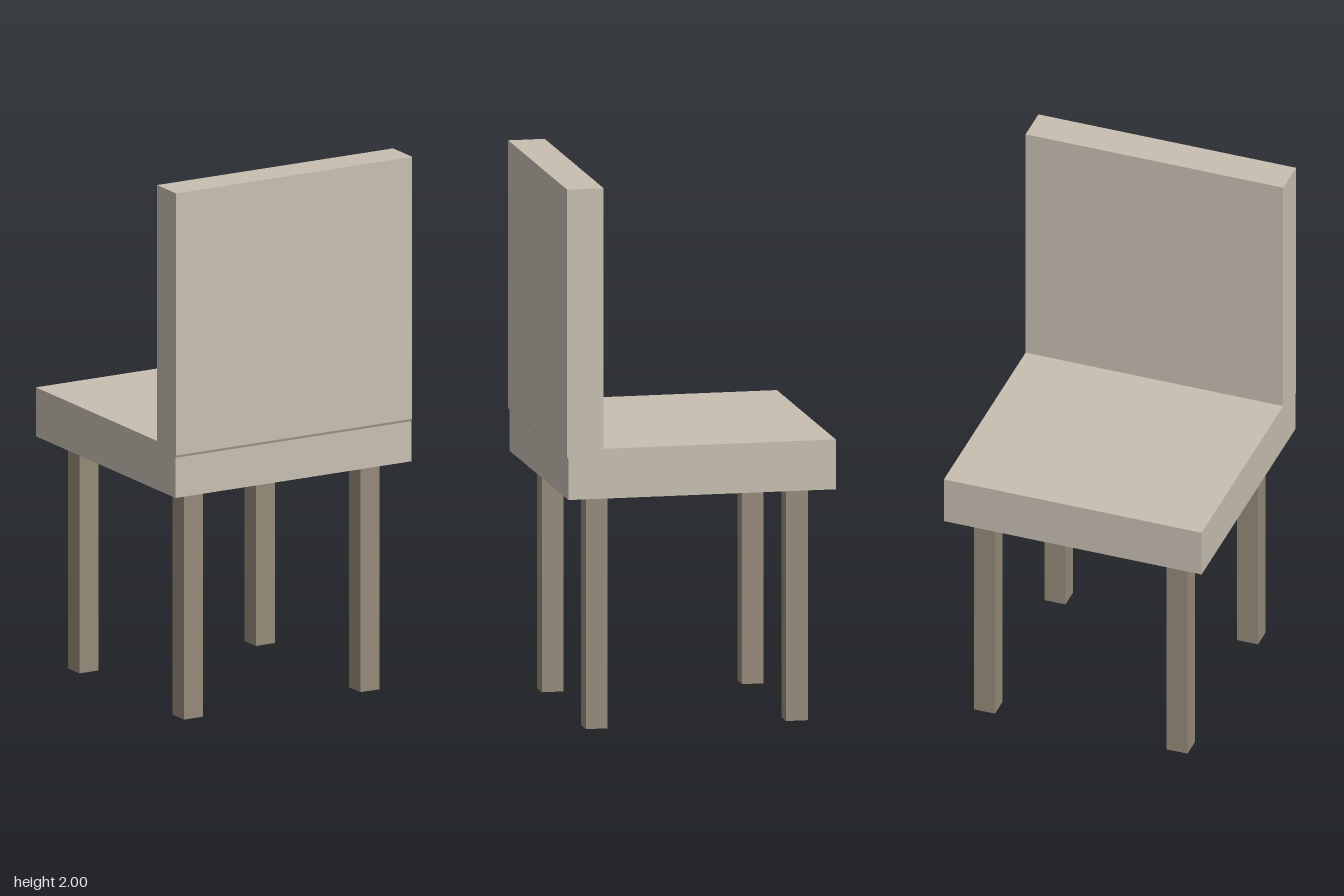
import * as THREE from 'three';

export function createModel() {
  const group = new THREE.Group();
  const upholstery = new THREE.MeshStandardMaterial({ name: 'beige upholstery', color: 0xc8bfb1 });
  const wood = new THREE.MeshStandardMaterial({ name: 'brown wood', color: 0x968a79 });

  // Seat and backrest: one L-shaped side profile (z, y) swept across the width
  const width = 0.99;
  const profile = new THREE.Shape([
    [-0.495, 0.86], [0.493, 0.86], [0.493, 1.01], [0.498, 1.02],
    [0.498, 2], [0.363, 2], [0.363, 1.043], [-0.495, 1.043],
  ].map(([z, y]) => new THREE.Vector2(z, y)));
  const body = new THREE.ExtrudeGeometry(profile, { depth: width, bevelEnabled: false });
  body.rotateY(-Math.PI / 2).translate(width / 2, 0, 0);
  const seat = new THREE.Mesh(body, upholstery);
  seat.name = 'seatAndBackrest';
  group.add(seat);

  // Four square legs
  const legHeight = 0.86;
  const legGeometry = new THREE.BoxGeometry(0.08, legHeight, 0.08);
  for (const [side, x] of [['Left', 0.37], ['Right', -0.37]]) {
    for (const [end, z] of [['front', 0.37], ['back', -0.37]]) {
      const leg = new THREE.Mesh(legGeometry, wood);
      leg.name = `${end}${side}Leg`;
      leg.position.set(x, legHeight / 2, z);
      group.add(leg);
    }
  }
  return group;
}
